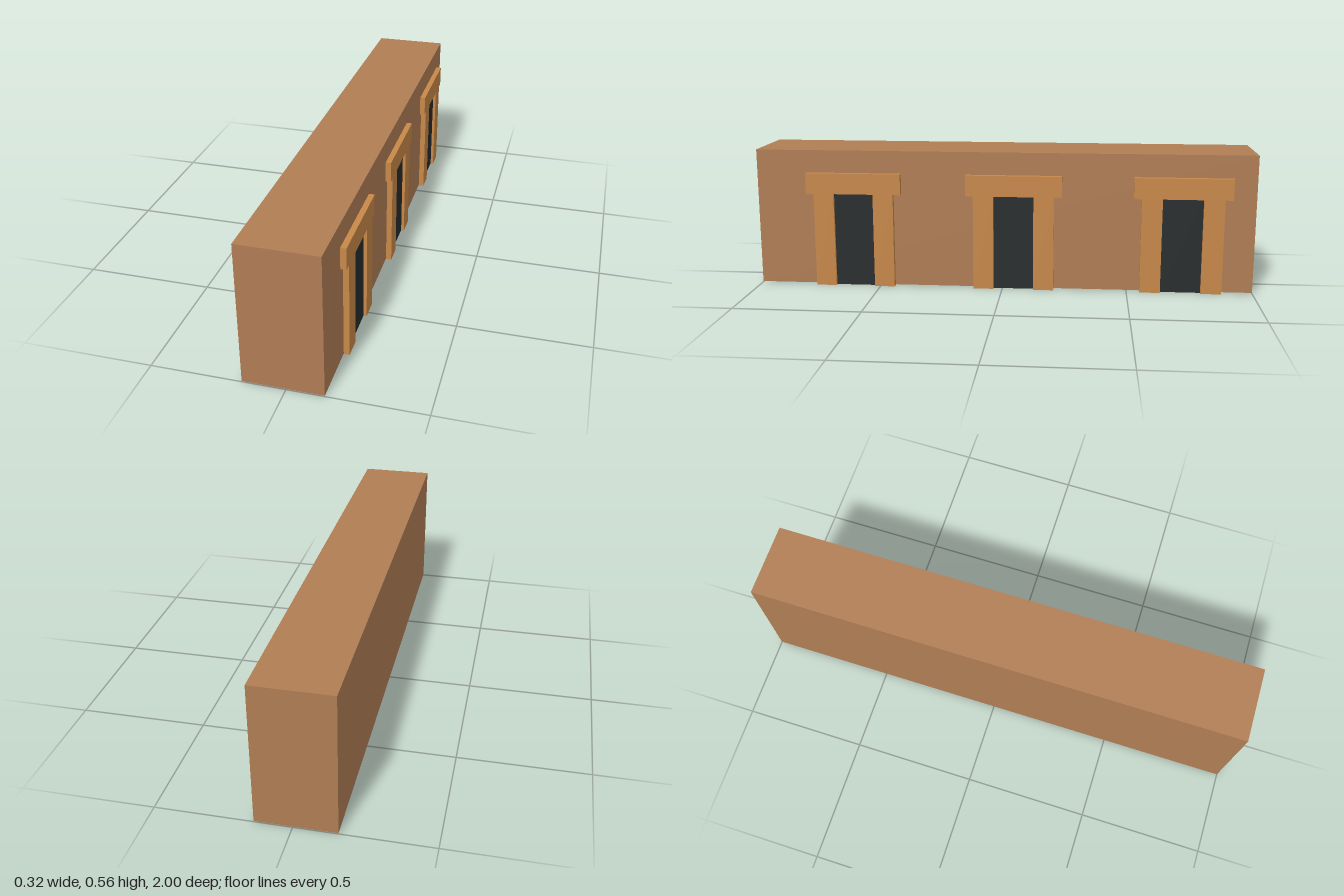
import * as THREE from 'three';

const mat = (color) => new THREE.MeshStandardMaterial({ color });

export function createModel() {
  const group = new THREE.Group();
  const wallMat = mat(0xb07d54), frameMat = mat(0xc88849), doorMat = mat(0x262b2b);

  const addBox = (name, material, x0, x1, y0, y1, z, depth, parent) => {
    const mesh = new THREE.Mesh(new THREE.BoxGeometry(x1 - x0, y1 - y0, depth), material);
    mesh.position.set((x0 + x1) / 2, (y0 + y1) / 2, z);
    mesh.name = name;
    parent.add(mesh);
  };

  // Long building block
  addBox('wallBlock', wallMat, -0.16, 0.138, 0.003, 0.556, 0, 2, group);

  // Door surround: two jambs and an overhanging lintel in one outline
  const half = [[0.08, 0], [0.162, 0], [0.162, 0.381], [0.193, 0.381], [0.193, 0.465]];
  const mirrored = half.map(([x, y]) => [-x, y]).reverse();
  const outline = [...half, ...mirrored, [-0.08, 0.381], [0.08, 0.381]];
  const shape = new THREE.Shape(outline.map(([x, y]) => new THREE.Vector2(x, y)));
  const frameGeo = new THREE.ExtrudeGeometry(shape, { depth: 0.04, bevelEnabled: false });
  frameGeo.rotateY(-Math.PI / 2).translate(0.16, 0, 0);

  // Three doorways along the left side
  for (const z of [0.603, -0.045, -0.714]) {
    const doorway = new THREE.Group();
    doorway.name = 'doorway';
    doorway.position.z = z;
    const frame = new THREE.Mesh(frameGeo, frameMat);
    frame.name = 'doorFrame';
    doorway.add(frame);
    addBox('doorPanel', doorMat, 0.12, 0.148, 0.001, 0.381, 0, 0.16, doorway);
    group.add(doorway);
  }
  return group;
}
